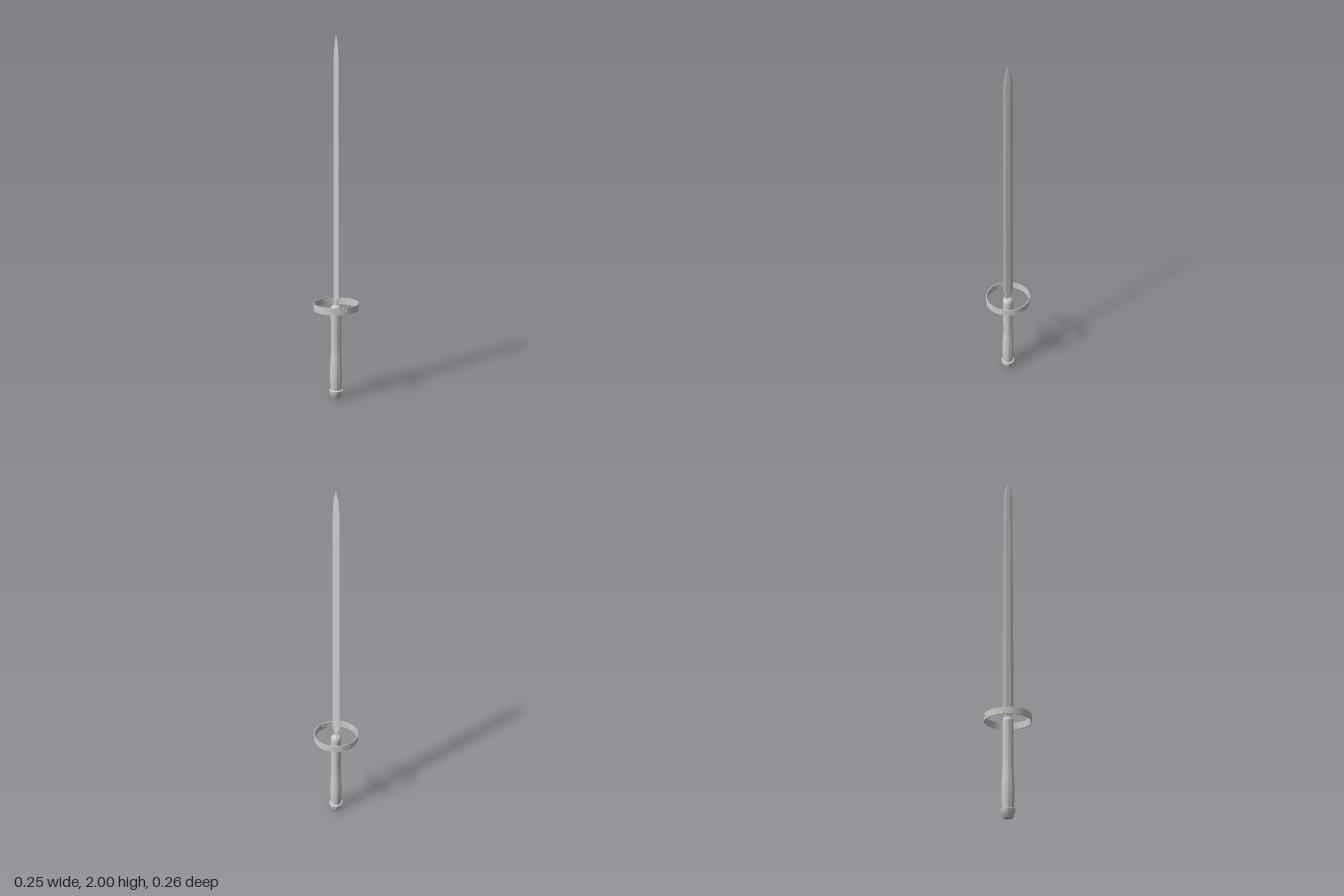
import * as THREE from 'three';
import { toCreasedNormals } from 'three/addons/utils/BufferGeometryUtils.js';

const grey = new THREE.MeshStandardMaterial({ color: 0xcccccc });
const greyDouble = new THREE.MeshStandardMaterial({ color: 0xcccccc, side: THREE.DoubleSide });

function addMesh(group, name, geometry, material = grey) {
  const mesh = new THREE.Mesh(geometry, material);
  mesh.name = name;
  group.add(mesh);
  return mesh;
}

// Turned part from [radius, height] pairs, bottom to top
function turned(points, smooth = false) {
  let profile = points.map(([r, y]) => new THREE.Vector2(r, y));
  if (smooth) profile = new THREE.SplineCurve(profile).getPoints(32);
  return toCreasedNormals(new THREE.LatheGeometry(profile, 32), 0.6);
}

// Six-sided blade: each section is [height, half width, half flat, half thickness]
function bladeGeometry(sections) {
  const positions = [];
  const rings = sections.map(([y, w, f, t]) => [
    [0, y, w], [t, y, f], [t, y, -f], [0, y, -w], [-t, y, -f], [-t, y, f],
  ]);
  const tri = (a, b, c) => positions.push(...a, ...b, ...c);
  for (let i = 0; i < rings.length - 1; i++) {
    for (let k = 0; k < 6; k++) {
      const n = (k + 1) % 6;
      const [a, b, c, d] = [rings[i][k], rings[i][n], rings[i + 1][n], rings[i + 1][k]];
      tri(a, b, c);
      tri(a, c, d);
    }
  }
  for (let k = 1; k < 5; k++) tri(rings[0][0], rings[0][k + 1], rings[0][k]);
  const geometry = new THREE.BufferGeometry();
  geometry.setAttribute('position', new THREE.Float32BufferAttribute(positions, 3));
  geometry.computeVertexNormals();
  return geometry;
}

export function createModel() {
  const sword = new THREE.Group();
  sword.name = 'sword';

  // Pommel cap
  addMesh(sword, 'pommel', turned([
    [0, 0], [0.024, 0], [0.028, 0.006], [0.037, 0.034], [0.038, 0.046], [0.033, 0.049], [0, 0.049],
  ]));

  // Swelling grip and its rounded top
  addMesh(sword, 'grip', turned([
    [0.029, 0.045], [0.033, 0.1], [0.034, 0.15], [0.031, 0.22], [0.028, 0.27],
    [0.028, 0.35], [0.029, 0.43], [0.03, 0.51],
  ], true));
  addMesh(sword, 'gripTop', turned([
    [0.03, 0.51], [0.029, 0.52], [0.024, 0.53], [0.014, 0.536], [0, 0.538],
  ]));

  // Floating ring guard: a thin, tall band
  const [outer, inner, low, high] = [0.125, 0.121, 0.51, 0.548];
  const band = [[outer, low], [outer, high], [inner, high], [inner, low], [outer, low]];
  const bandGeometry = new THREE.LatheGeometry(band.map(([r, y]) => new THREE.Vector2(r, y)), 64);
  addMesh(sword, 'ringGuard', toCreasedNormals(bandGeometry, 0.6), greyDouble);

  // Rivets at the front and back of the ring
  for (const side of [1, -1]) {
    const rivet = addMesh(sword, side > 0 ? 'frontRivet' : 'backRivet', new THREE.SphereGeometry(0.007, 16, 12));
    rivet.position.set(0, 0.53, side * 0.123);
  }

  // Blade with narrow neck, flat middle, bevelled edges and point
  addMesh(sword, 'blade', bladeGeometry([
    [0.525, 0.018, 0.012, 0.006],
    [0.555, 0.02, 0.012, 0.006],
    [0.585, 0.031, 0.014, 0.006],
    [1.2, 0.03, 0.013, 0.005],
    [1.9, 0.027, 0.012, 0.004],
    [1.95, 0.019, 0.008, 0.003],
    [2, 0.0005, 0.0002, 0.0005],
  ]));

  return sword;
}
